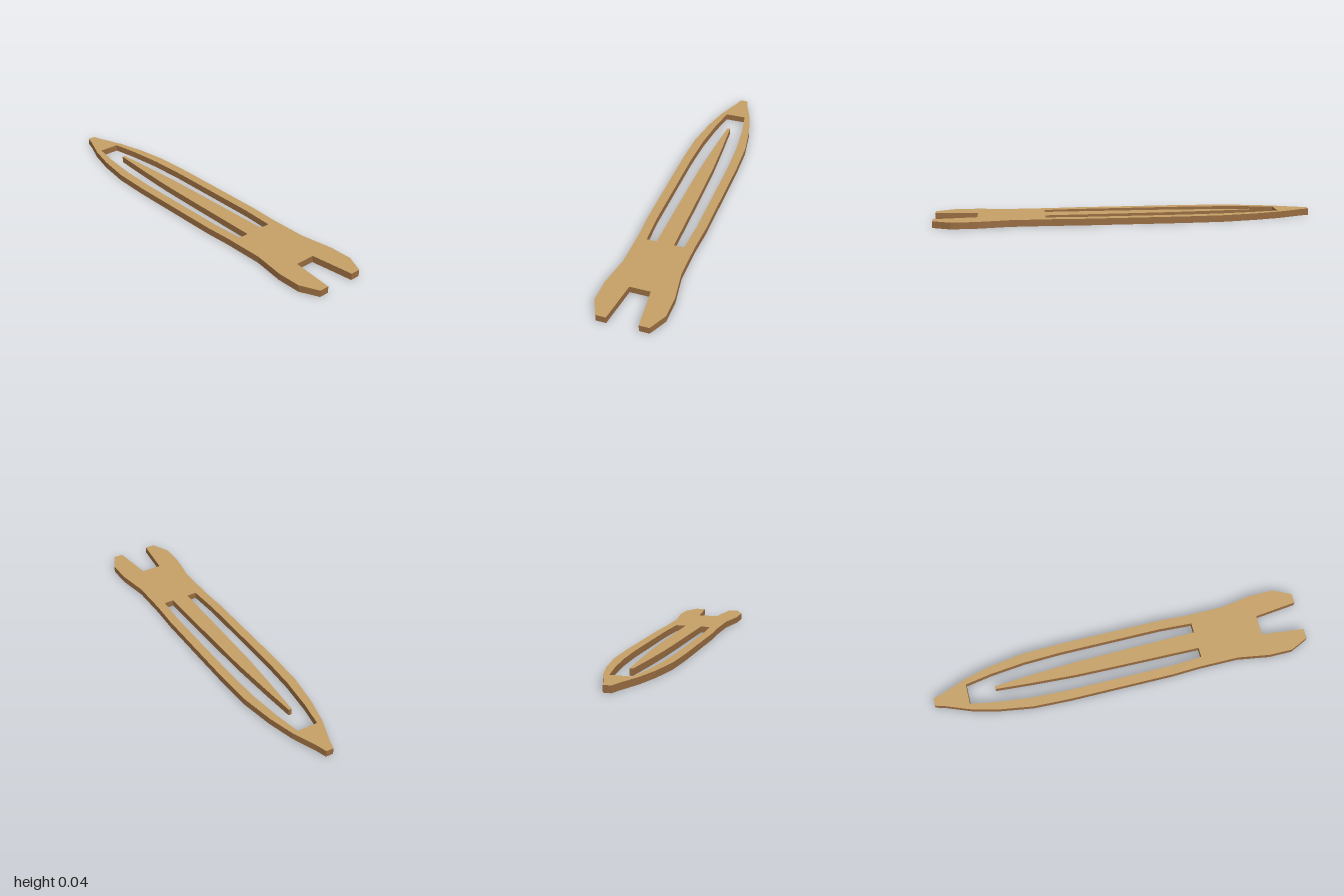
import * as THREE from 'three';

// Half outlines as [x, z]; each is mirrored across x = 0.
const OUTER = [
  [0.02, -1], [0.035, -0.95], [0.086, -0.82], [0.122, -0.68], [0.15, -0.5],
  [0.157, -0.3], [0.157, 0.25], [0.15, 0.4], [0.15, 0.61], [0.177, 0.78],
  [0.177, 0.905], [0.132, 1], [0.08, 1], [0.054, 0.775],
];
const SLOT = [
  [0.055, -0.82], [0.08, -0.68], [0.1, -0.5], [0.108, -0.3], [0.108, 0.25],
  [0.099, 0.423], [0.046, 0.423], [0.04, 0], [0.035, -0.25], [0.022, -0.48],
  [0.008, -0.675],
];
const THICKNESS = 0.035;

function mirrored(half) {
  const other = half.map(([x, z]) => [-x, z]).reverse();
  return [...half, ...other].map(([x, z]) => new THREE.Vector2(x, -z));
}

export function createModel() {
  const face = new THREE.MeshStandardMaterial({ color: 0xc49f66 });
  face.name = 'light wood face';
  const edge = new THREE.MeshStandardMaterial({ color: 0x966a3f });
  edge.name = 'brown wood edge';

  // Flat body with forked heel; the slot leaves the central tongue standing free.
  // The slot runs opposite to the outline so its walls face into the opening.
  const shape = new THREE.Shape(mirrored(OUTER));
  shape.holes.push(new THREE.Path(mirrored(SLOT).reverse()));
  const geometry = new THREE.ExtrudeGeometry(shape, { depth: THICKNESS, bevelEnabled: false });
  geometry.rotateX(-Math.PI / 2);

  const body = new THREE.Mesh(geometry, [face, edge]);
  body.name = 'nettingShuttleBody';

  const group = new THREE.Group();
  group.name = 'nettingShuttle';
  group.add(body);
  return group;
}
